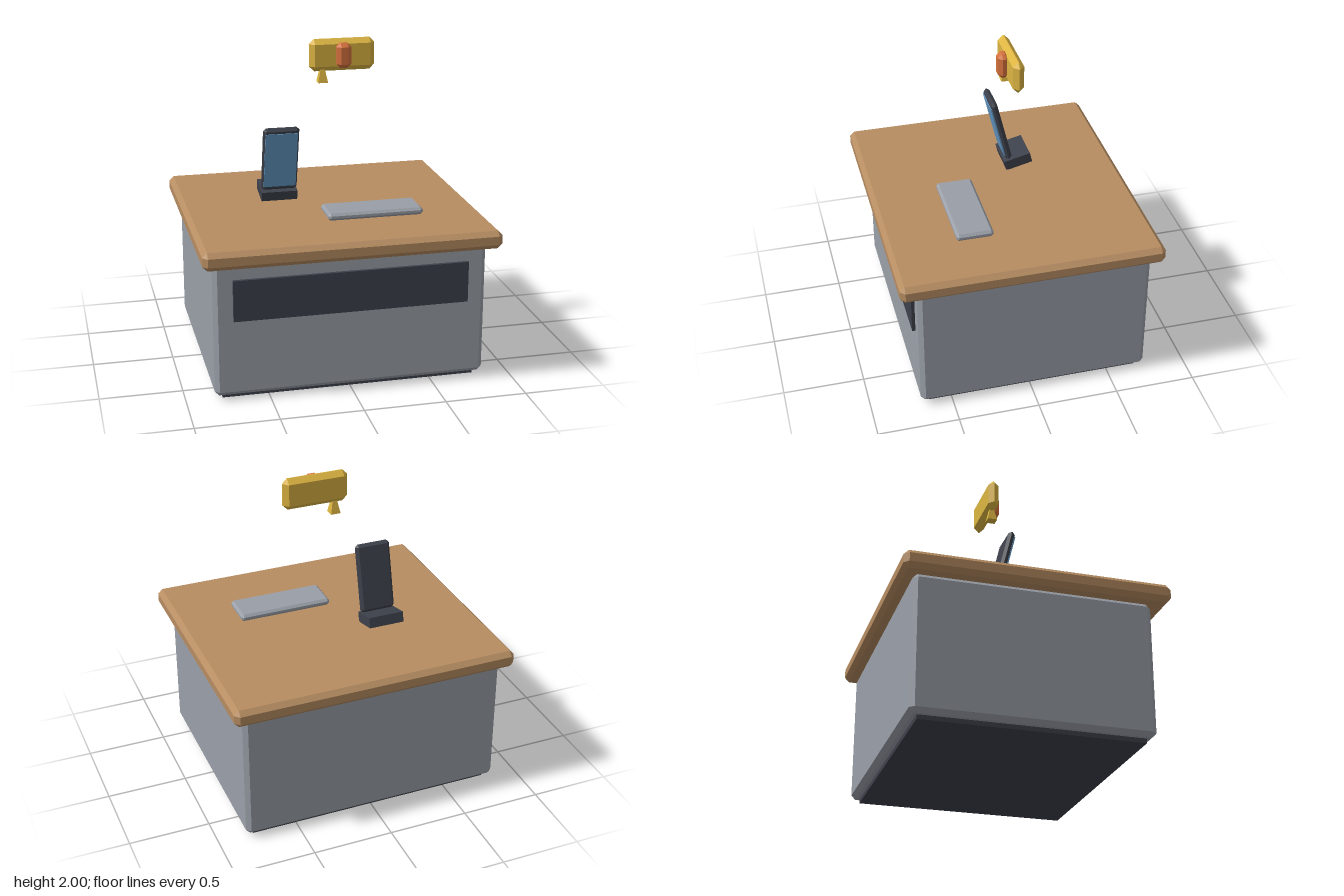
import * as THREE from 'three';
import { ConvexGeometry } from 'three/addons/geometries/ConvexGeometry.js';

const material = (name, color) => {
  const m = new THREE.MeshStandardMaterial({ color });
  m.name = name;
  return m;
};

// Box with flat cut edges and corners
function chamferBox(w, h, d, c) {
  const half = [w / 2, h / 2, d / 2];
  const points = [];
  for (const sx of [-1, 1]) for (const sy of [-1, 1]) for (const sz of [-1, 1]) {
    for (let axis = 0; axis < 3; axis++) {
      const [x, y, z] = half.map((v, i) => (i === axis ? v : v - c));
      points.push(new THREE.Vector3(sx * x, sy * y, sz * z));
    }
  }
  return new ConvexGeometry(points);
}

export function createModel() {
  const model = new THREE.Group();
  model.name = 'helpDesk';

  const grey = material('grey', 0x9a9fa8);
  const wood = material('wood', 0xb78d62);
  const dark = material('charcoal', 0x3d414b);
  const blue = material('screenBlue', 0x659bc8);
  const yellow = material('yellow', 0xddb542);
  const orange = material('orange', 0xd4713c);

  const add = (name, geometry, mat, x, y, z, parent = model) => {
    const mesh = new THREE.Mesh(geometry, mat);
    mesh.name = name;
    mesh.position.set(x, y, z);
    parent.add(mesh);
    return mesh;
  };

  // Counter
  add('plinth', new THREE.BoxGeometry(1.56, 0.05, 1.33), dark, 0, 0.025, -0.02);
  add('cabinet', chamferBox(1.66, 0.83, 1.43, 0.027), grey, 0, 0.442, -0.02);
  add('frontPanel', new THREE.BoxGeometry(1.428, 0.254, 0.04), dark, 0, 0.634, 0.695);
  add('counterTop', chamferBox(1.794, 0.111, 1.608, 0.029), wood, 0, 0.9125, 0);
  add('keyboard', chamferBox(0.595, 0.045, 0.228, 0.015), grey, 0.227, 0.99, 0.274);

  // Tilted display on its wedge foot
  const tilt = 0.24;
  add('displayFoot', new THREE.BoxGeometry(0.228, 0.066, 0.176), dark, -0.278, 1.016, -0.175).rotation.x = tilt;
  const display = new THREE.Group();
  display.name = 'display';
  display.position.set(-0.278, 1.25, -0.067);
  display.rotation.x = tilt;
  model.add(display);
  add('displayCase', chamferBox(0.228, 0.437, 0.042, 0.018), dark, 0, 0, 0, display);
  add('displayScreen', new THREE.BoxGeometry(0.204, 0.372, 0.008), blue, 0, 0, 0.022, display);

  // Floating speech bubble with its tail and mark
  add('bubble', chamferBox(0.412, 0.2, 0.068, 0.031), yellow, 0.111, 1.9, -0.047);
  add('bubbleTail', new THREE.ConeGeometry(0.044, 0.15, 4, 1).rotateY(Math.PI / 4).toNonIndexed(), yellow, -0.012, 1.805, -0.046)
    .geometry.computeVertexNormals();
  add('bubbleMark', chamferBox(0.093, 0.156, 0.07, 0.025), orange, 0.112, 1.902, 0.002);

  return model;
}
